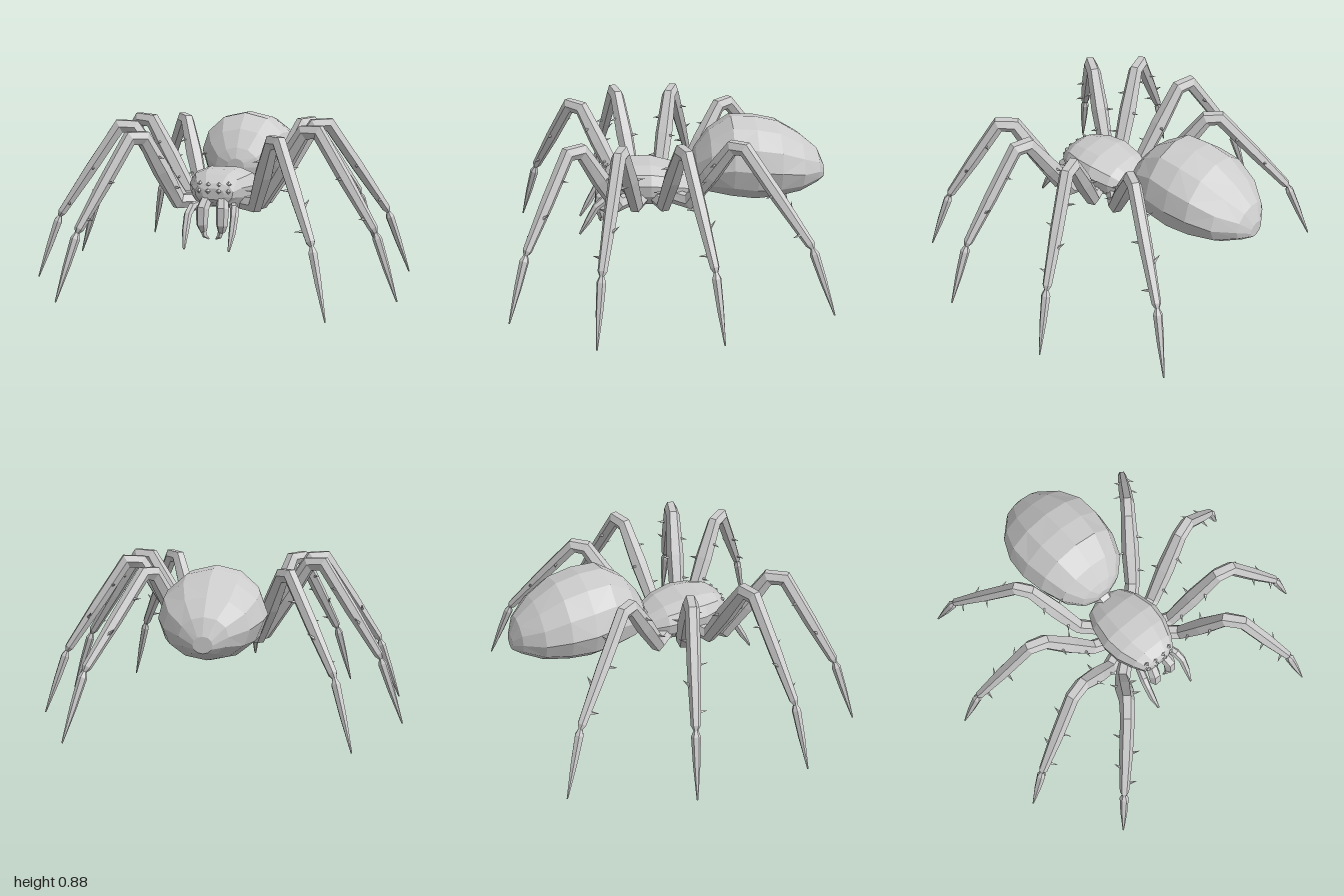
import * as THREE from 'three';

const V = (x, y, z) => new THREE.Vector3(x, y, z);
const grey = new THREE.MeshStandardMaterial({ color: 0xcccccc });
grey.name = 'light grey';

// Faceted solid through a list of rings, closed at both ends
function loft(name, rings) {
  const n = rings[0].length, tris = [];
  const centre = (r) => r.reduce((s, p) => s.add(p), V(0, 0, 0)).divideScalar(n);
  const first = rings[0], last = rings[rings.length - 1];
  const c0 = centre(first), c1 = centre(last);
  for (let j = 0; j < n; j++) {
    const k = (j + 1) % n;
    tris.push([c0, first[k], first[j]], [c1, last[j], last[k]]);
    for (let i = 0; i < rings.length - 1; i++) {
      const a = rings[i], b = rings[i + 1];
      if (i % 2) tris.push([a[j], a[k], b[j]], [a[k], b[k], b[j]]);
      else tris.push([a[j], a[k], b[k]], [a[j], b[k], b[j]]);
    }
  }
  // Turn every face outward, whichever way the rings run
  let volume = 0;
  for (const [a, b, c] of tris) volume += a.dot(b.clone().cross(c));
  const points = tris.flatMap(([a, b, c]) => (volume < 0 ? [a, c, b] : [a, b, c]));
  const geometry = new THREE.BufferGeometry().setFromPoints(points);
  geometry.computeVertexNormals();
  const mesh = new THREE.Mesh(geometry, grey);
  mesh.name = name;
  return mesh;
}

// Mitred tube along a bent path; side is the axis of the bends
function limb(name, path, radii, side, sides = 6) {
  const rings = path.map((p, i) => {
    const into = p.clone().sub(path[Math.max(i - 1, 0)]).normalize();
    const out = path[Math.min(i + 1, path.length - 1)].clone().sub(p).normalize();
    const tangent = into.clone().add(out).normalize();
    const up = tangent.clone().cross(side).normalize();
    const across = up.clone().cross(tangent).normalize();
    const mitre = i && i < path.length - 1 ? 1 / Math.max(tangent.dot(out), 0.7) : 1;
    return Array.from({ length: sides }, (_, j) => {
      const t = (j / sides) * Math.PI * 2;
      return p.clone().addScaledVector(across, Math.cos(t) * radii[i])
        .addScaledVector(up, Math.sin(t) * radii[i] * mitre);
    });
  });
  return loft(name, rings);
}

// Thin bristle standing on a leg
function spine(at, direction, length) {
  const mesh = new THREE.Mesh(new THREE.ConeGeometry(0.011, length, 4).toNonIndexed(), grey);
  mesh.geometry.computeVertexNormals();
  const d = direction.clone().normalize();
  mesh.position.copy(at).addScaledVector(d, length / 2);
  mesh.quaternion.setFromUnitVectors(V(0, 1, 0), d);
  mesh.name = 'legSpine';
  return mesh;
}

function abdomen() {
  // z, half width, bottom, top
  const sections = [
    [-0.125, 0.05, 0.53, 0.63], [-0.155, 0.13, 0.47, 0.69], [-0.23, 0.21, 0.44, 0.79],
    [-0.35, 0.26, 0.415, 0.87], [-0.48, 0.28, 0.4, 0.865], [-0.61, 0.272, 0.41, 0.835],
    [-0.74, 0.22, 0.435, 0.755], [-0.84, 0.125, 0.475, 0.67], [-0.88, 0.05, 0.495, 0.58]];
  const n = 12;
  return loft('abdomen', sections.map(([z, w, bottom, top], i) =>
    Array.from({ length: n }, (_, j) => {
      const t = (j / n) * Math.PI * 2;
      const bump = 1 + 0.015 * Math.cos(3 * t + i * 2) * (i % 2 ? 1 : -1);
      return V(w * Math.sin(t) * bump, (top + bottom) / 2 + Math.cos(t) * (top - bottom) / 2, z);
    })));
}

function thorax() {
  const sections = [
    [-0.14, 0.05, 0.46, 0.52], [-0.11, 0.12, 0.42, 0.54], [-0.02, 0.165, 0.41, 0.59],
    [0.1, 0.19, 0.41, 0.62], [0.2, 0.178, 0.41, 0.62], [0.29, 0.14, 0.435, 0.605],
    [0.345, 0.105, 0.46, 0.565], [0.36, 0.06, 0.48, 0.54]];
  // Right half of the section: share of half width, share of height
  const half = [[0, 0], [0.7, 0], [0.95, 0.3], [1, 0.6], [0.82, 0.86], [0.42, 1], [0, 1]];
  const outline = [...half, ...half.slice(1, -1).reverse().map(([x, y]) => [-x, y])];
  return loft('headAndThorax', sections.map(([z, w, bottom, top]) =>
    outline.map(([x, y]) => V(x * w, bottom + y * (top - bottom), z))));
}

// Hip, femur foot, knee (two points), ankle and tip of each leg on the left
const LEGS = [
  ['frontLeg', [0.1, 0.445, 0.19], [0.215, 0.45, 0.29], [0.345, 0.815, 0.475], [0.4, 0.82, 0.545], [0.61, 0.36, 0.77], [0.7, 0.005, 0.87]],
  ['secondLeg', [0.1, 0.445, 0.14], [0.225, 0.45, 0.19], [0.47, 0.845, 0.265], [0.55, 0.85, 0.285], [0.87, 0.36, 0.385], [0.995, 0.005, 0.42]],
  ['thirdLeg', [0.1, 0.445, 0.08], [0.225, 0.45, 0.035], [0.47, 0.845, -0.04], [0.55, 0.85, -0.065], [0.87, 0.36, -0.18], [0.995, 0.005, -0.22]],
  ['backLeg', [0.1, 0.445, -0.01], [0.2, 0.45, -0.11], [0.345, 0.815, -0.32], [0.39, 0.82, -0.38], [0.635, 0.36, -0.71], [0.73, 0.005, -0.83]]];

function leg([name, ...coords], s) {
  const group = new THREE.Group();
  group.name = (s > 0 ? 'left ' : 'right ') + name;
  const [hip, foot, kneeIn, kneeOut, ankle, tip] = coords.map(([x, y, z]) => V(s * x, y, z));
  const side = V(-(tip.z - hip.z), 0, tip.x - hip.x).normalize();
  const on = (a, b, t) => a.clone().lerp(b, t);
  group.add(limb('legBody',
    [hip, foot, on(foot, kneeIn, 0.5), kneeIn, kneeOut, on(kneeOut, ankle, 0.5), on(kneeOut, ankle, 0.97),
      on(ankle, tip, 0.02), on(ankle, tip, 0.1), on(ankle, tip, 0.5), tip],
    [0.04, 0.042, 0.05, 0.04, 0.038, 0.036, 0.025, 0.012, 0.025, 0.019, 0.004], side));
  // Bristles: segment ends, place along it, sideways sign, lift, segment radius
  const bristles = [
    [foot, kneeIn, 0.2, 1, 0.5, 0.035], [foot, kneeIn, 0.45, -1, 0.6, 0.04], [foot, kneeIn, 0.7, 1, 0.3, 0.035],
    [kneeOut, ankle, 0.25, -1, -0.3, 0.03], [kneeOut, ankle, 0.45, 1, -0.4, 0.028],
    [kneeOut, ankle, 0.65, -1, 0.4, 0.026], [kneeOut, ankle, 0.85, 1, -0.5, 0.02]];
  for (const [a, b, t, sign, lift, r] of bristles) {
    const d = side.clone().multiplyScalar(sign * s).add(V(0, lift, 0)).normalize();
    group.add(spine(on(a, b, t).addScaledVector(d, r * 0.8), d.clone().add(on(b, a, 0).sub(a).normalize().multiplyScalar(-0.5)), 0.055));
  }
  return group;
}

export function createModel() {
  const model = new THREE.Group();
  model.name = 'spider';
  const X = V(1, 0, 0);
  model.add(abdomen(), thorax());
  model.add(limb('waist', [V(0, 0.49, -0.08), V(0, 0.54, -0.2)], [0.05, 0.06], X));

  for (const s of [1, -1]) {
    for (const data of LEGS) model.add(leg(data, s));

    // Jaws with fangs curving inward
    model.add(limb('jaw',
      [V(s * 0.04, 0.49, 0.32), V(s * 0.055, 0.43, 0.375), V(s * 0.055, 0.35, 0.385), V(s * 0.05, 0.31, 0.375)],
      [0.03, 0.036, 0.032, 0.02], X));
    model.add(limb('fang',
      [V(s * 0.052, 0.325, 0.378), V(s * 0.04, 0.285, 0.38), V(s * 0.018, 0.268, 0.375)],
      [0.018, 0.013, 0.003], V(0, 0, 1), 5));

    // Feelers beside the jaws
    model.add(limb('feeler',
      [V(s * 0.09, 0.44, 0.28), V(s * 0.118, 0.435, 0.36), V(s * 0.128, 0.4, 0.405), V(s * 0.128, 0.32, 0.45), V(s * 0.122, 0.235, 0.5)],
      [0.022, 0.024, 0.022, 0.019, 0.006], X));

    // Four eyes on each side of the face
    for (const [x, y, z] of [[0.03, 0.558, 0.347], [0.08, 0.562, 0.335], [0.03, 0.525, 0.36], [0.08, 0.525, 0.352]]) {
      const eye = new THREE.Mesh(new THREE.OctahedronGeometry(0.015), grey);
      eye.position.set(s * x, y, z);
      eye.name = 'eye';
      model.add(eye);
    }
  }
  return model;
}
